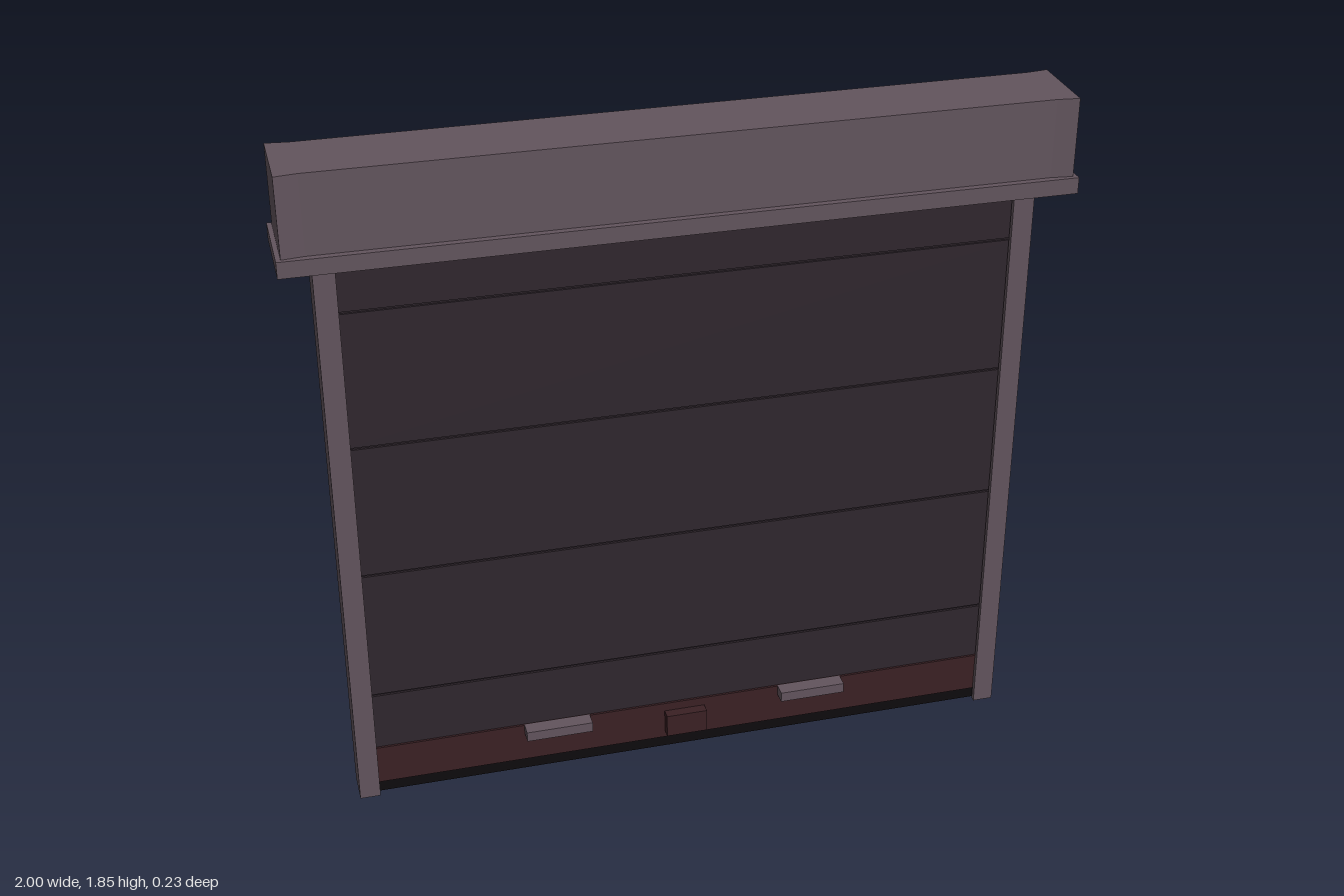
import * as THREE from 'three';

const material = (color) => new THREE.MeshStandardMaterial({ color, flatShading: true });

export function createModel() {
  const model = new THREE.Group();
  model.name = 'rollerShutter';
  const frameMat = material(0x62545d);
  const slatMat = material(0x2f262d);
  const barMat = material(0x3a2024);
  const rubberMat = material(0x0d0a0d);

  // Box given by its limits on each axis
  function box(name, [x0, x1], [y0, y1], [z0, z1], mat, parent = model) {
    const mesh = new THREE.Mesh(new THREE.BoxGeometry(x1 - x0, y1 - y0, z1 - z0), mat);
    mesh.position.set((x0 + x1) / 2, (y0 + y1) / 2, (z0 + z1) / 2);
    mesh.name = name;
    parent.add(mesh);
    return mesh;
  }

  // Hood: a long box whose ends flare slightly front and back
  const plan = new THREE.Shape([
    [-0.988, -0.106], [-0.93, -0.099], [0.93, -0.099], [0.988, -0.106],
    [0.988, 0.106], [0.93, 0.099], [-0.93, 0.099], [-0.988, 0.106],
  ].map(([x, y]) => new THREE.Vector2(x, y)));
  const hoodGeometry = new THREE.ExtrudeGeometry(plan, { depth: 0.21, bevelEnabled: false });
  hoodGeometry.rotateX(-Math.PI / 2);
  const hood = new THREE.Mesh(hoodGeometry, frameMat);
  hood.position.y = 1.64;
  hood.name = 'hood';
  model.add(hood);
  box('hoodLip', [-1, 1], [1.6, 1.643], [-0.117, 0.117], frameMat);

  // Guide rails: U channels that open towards the curtain
  for (const side of [-1, 1]) {
    const channel = new THREE.Shape([
      [0.86, -0.047], [0.915, -0.047], [0.915, 0.047], [0.86, 0.047],
      [0.86, 0.033], [0.9, 0.033], [0.9, -0.033], [0.86, -0.033],
    ].map(([x, y]) => new THREE.Vector2(x * side, y)));
    const geometry = new THREE.ExtrudeGeometry(channel, { depth: 1.6, bevelEnabled: false });
    geometry.rotateX(-Math.PI / 2);
    const rail = new THREE.Mesh(geometry, frameMat);
    rail.name = side > 0 ? 'leftGuideRail' : 'rightGuideRail';
    model.add(rail);
  }

  // Curtain: panels parted by narrow grooves over a thin core
  const curtain = new THREE.Group();
  curtain.name = 'curtain';
  model.add(curtain);
  const width = [-0.88, 0.88];
  box('curtainCore', width, [0.14, 1.6], [-0.018, 0.018], slatMat, curtain);
  const joints = [0.14, 0.317, 0.695, 1.073, 1.45, 1.6];
  for (let i = 0; i < joints.length - 1; i++) {
    box('curtainPanel', width, [joints[i] + 0.003, joints[i + 1] - 0.003], [-0.024, 0.024], slatMat, curtain);
  }

  // Bottom bar with rubber seal, lock and lifting handles
  box('bottomBar', width, [0.033, 0.147], [-0.03, 0.03], barMat);
  box('bottomSeal', width, [0, 0.035], [-0.026, 0.026], rubberMat);
  box('lock', [-0.057, 0.057], [0.055, 0.122], [0.028, 0.058], barMat);
  box('leftHandle', [0.27, 0.453], [0.12, 0.149], [0.028, 0.068], frameMat);
  box('rightHandle', [-0.453, -0.27], [0.12, 0.149], [0.028, 0.068], frameMat);

  return model;
}
